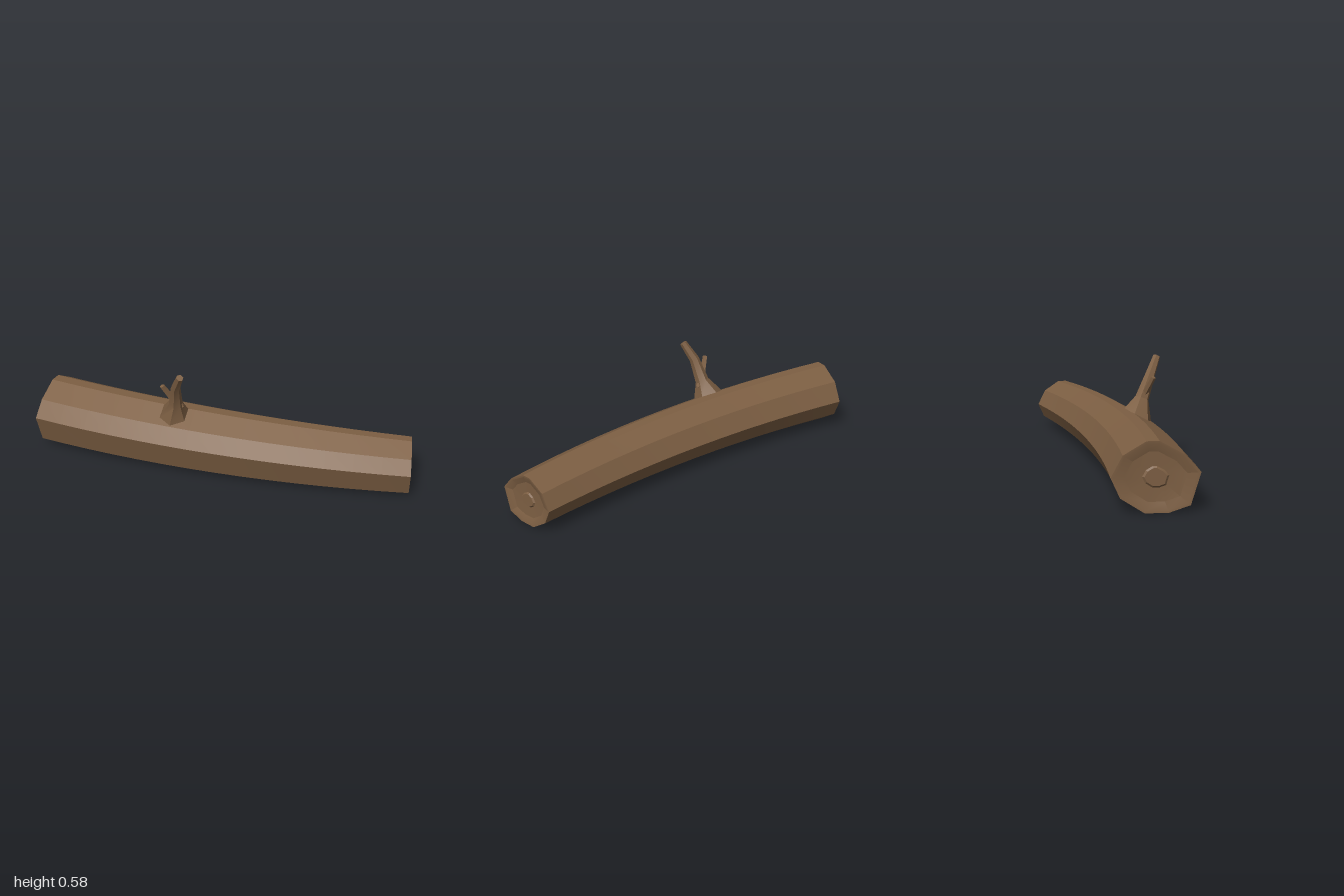
import * as THREE from 'three';
import { toCreasedNormals } from 'three/addons/utils/BufferGeometryUtils.js';

const V = (x, y, z) => new THREE.Vector3(x, y, z);

// Skin a list of rings (counter-clockwise about the travel direction) and close both ends.
function loft(rings, crease) {
  const pos = [];
  const tri = (...pts) => pts.forEach((p) => pos.push(p.x, p.y, p.z));
  const n = rings[0].length;
  const middle = (r) => r.reduce((s, p) => s.add(p), V(0, 0, 0)).divideScalar(n);
  const first = rings[0], last = rings[rings.length - 1];
  const c0 = middle(first), c1 = middle(last);
  for (let i = 0; i < n; i++) {
    const k = (i + 1) % n;
    for (let j = 0; j < rings.length - 1; j++) {
      const a = rings[j], b = rings[j + 1];
      tri(a[i], a[k], b[k]);
      tri(a[i], b[k], b[i]);
    }
    tri(c0, first[k], first[i]);
    tri(c1, last[i], last[k]);
  }
  const g = new THREE.BufferGeometry();
  g.setAttribute('position', new THREE.Float32BufferAttribute(pos, 3));
  return toCreasedNormals(g, crease);
}

// Uneven ten-sided log section as [z, y] around its own centre.
const SECTION = [
  [0.104, 0.147], [0.068, 0.026], [-0.01, 0], [-0.098, 0], [-0.186, 0.057],
  [-0.22, 0.132], [-0.177, 0.213], [-0.093, 0.263], [-0.046, 0.263], [0.047, 0.211],
].map(([z, y]) => [z + 0.058, y - 0.131]);

const X0 = -0.97, X1 = 0.978;

// Section at x on the bowed, tapering spine; size shrinks it, push slides it along the spine.
function logRing(x, size = 1, push = 0) {
  const u = (x - X0) / (X1 - X0);
  const s = 1.24 - 0.068 * u - 0.172 * u * u;
  const angle = Math.atan(-0.0146 - 0.16 * x);
  const z = 0.031 - 0.0146 * x - 0.08 * x * x;
  const cos = Math.cos(angle), sin = Math.sin(angle);
  return SECTION.map(([dz, dy]) => V(
    x + cos * push - sin * dz * s * size,
    s * (0.131 + dy * size),
    z + sin * push + cos * dz * s * size,
  ));
}

// Tapered limb through stations [x, y, z, radius]; startDir tilts the base ring.
function limb(stations, sides, startDir) {
  const pts = stations.map(([x, y, z]) => V(x, y, z));
  const rings = pts.map((p, j) => {
    const t = j === 0 && startDir ? startDir.clone()
      : pts[Math.min(j + 1, pts.length - 1)].clone().sub(pts[Math.max(j - 1, 0)]);
    t.normalize();
    const u = V(1, 0, 0).addScaledVector(t, -t.x).normalize();
    const v = t.clone().cross(u);
    return Array.from({ length: sides }, (_, i) => {
      const a = ((i + 0.5) / sides) * Math.PI * 2, r = stations[j][3];
      return p.clone().addScaledVector(u, Math.cos(a) * r).addScaledVector(v, Math.sin(a) * r);
    });
  });
  return loft(rings, 0.35);
}

export function createModel() {
  const model = new THREE.Group();
  model.name = 'fallenLog';
  const bark = new THREE.MeshStandardMaterial({ color: 0x7d5f43 });
  bark.name = 'barkBrown';
  const add = (name, geometry) => {
    const mesh = new THREE.Mesh(geometry, bark);
    mesh.name = name;
    model.add(mesh);
  };

  // Cut end: rim, shallow dish and a low raised core, as [size, depth]
  const cut = [[0.93, 0.001], [0.7, 0.012], [0.3, 0.014], [0.25, 0.007]];
  const rings = cut.map(([s, d]) => logRing(X0, s, d)).reverse();
  const steps = 14;
  for (let i = 0; i <= steps; i++) rings.push(logRing(X0 + ((X1 - X0) * i) / steps));
  cut.forEach(([s, d]) => rings.push(logRing(X1, s, -d)));
  add('log', loft(rings, 0.25));

  // Branch with a flared foot leaning forward off the log
  add('branch', limb([
    [-0.243, 0.292, 0.08, 0.078],
    [-0.222, 0.372, 0.107, 0.036],
    [-0.205, 0.485, 0.153, 0.026],
    [-0.165, 0.573, 0.198, 0.019],
  ], 6, V(0, 0.88, 0.47)));

  // Side twig and broken stub
  add('twig', limb([
    [-0.218, 0.372, 0.11, 0.02],
    [-0.25, 0.43, 0.13, 0.015],
    [-0.278, 0.485, 0.15, 0.013],
  ], 5));
  add('stub', limb([
    [-0.215, 0.342, 0.1, 0.018],
    [-0.186, 0.358, 0.093, 0.013],
  ], 5));
  return model;
}
